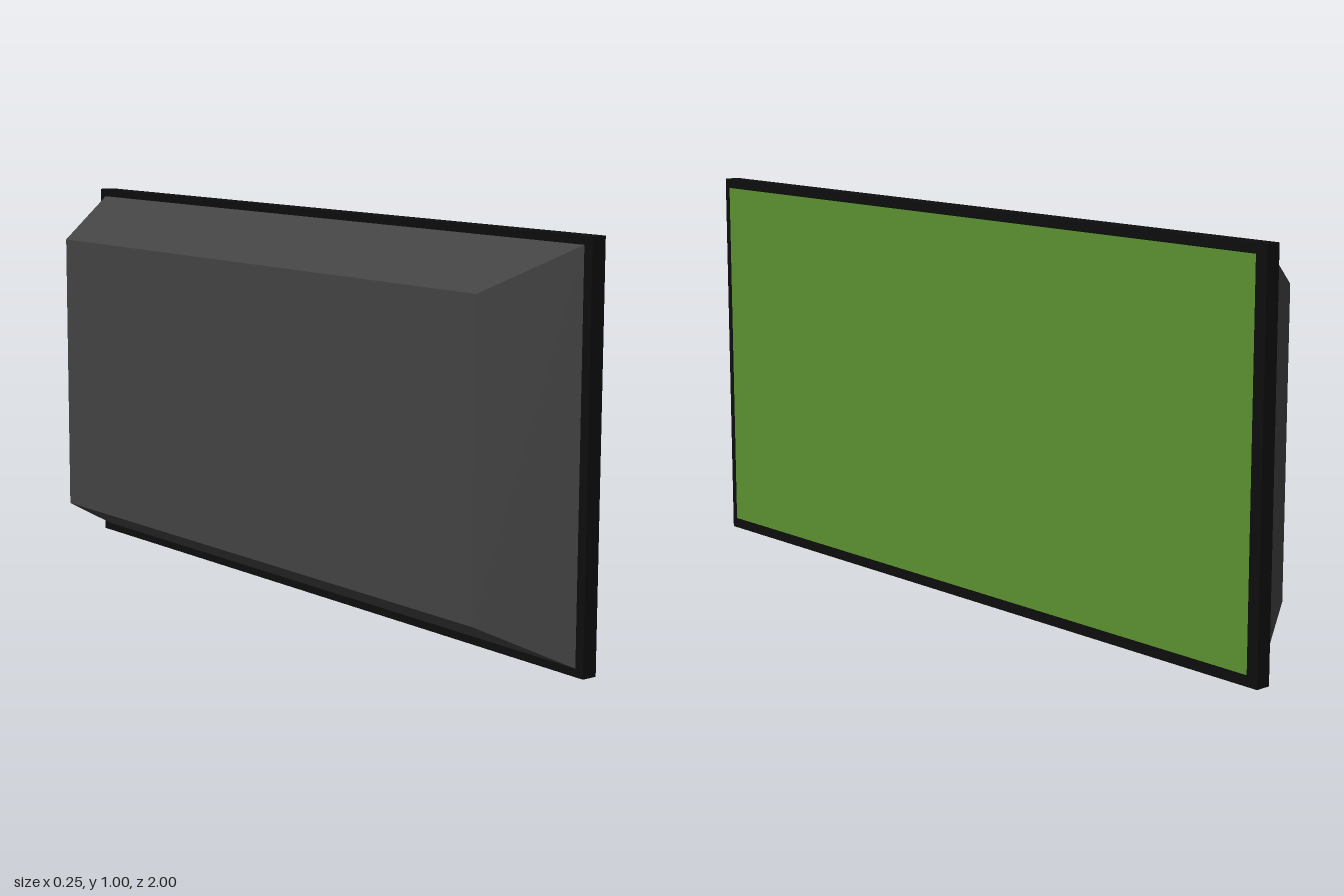
import * as THREE from 'three';

const WIDTH = 2, HEIGHT = 1;
const BACK_X = -0.125, FRAME_BACK_X = 0.083, FRAME_FRONT_X = 0.123, SCREEN_X = 0.125;

function part(name, geometry, color, x, y = HEIGHT / 2, z = 0) {
  const mesh = new THREE.Mesh(geometry, new THREE.MeshStandardMaterial({ color, flatShading: true }));
  mesh.name = name;
  mesh.position.set(x, y, z);
  return mesh;
}

// Box whose -x end is narrowed to the given height and width
function taperedBox(depth, height, width, backHeight, backWidth) {
  const geometry = new THREE.BoxGeometry(depth, height, width);
  const p = geometry.attributes.position;
  for (let i = 0; i < p.count; i++) {
    if (p.getX(i) < 0) {
      p.setY(i, Math.sign(p.getY(i)) * backHeight / 2);
      p.setZ(i, Math.sign(p.getZ(i)) * backWidth / 2);
    }
  }
  geometry.computeVertexNormals();
  return geometry;
}

export function createModel() {
  const model = new THREE.Group();
  model.name = 'flatScreen';

  // Thin black frame panel
  const frameDepth = FRAME_FRONT_X - FRAME_BACK_X;
  model.add(part('frame', new THREE.BoxGeometry(frameDepth, HEIGHT, WIDTH), 0x0d0d0d,
    (FRAME_FRONT_X + FRAME_BACK_X) / 2));

  // Tapered housing behind the frame
  const housingDepth = FRAME_BACK_X - BACK_X;
  model.add(part('backHousing', taperedBox(housingDepth, 0.96, 1.95, 0.75, 1.71), 0x444444,
    (FRAME_BACK_X + BACK_X) / 2));

  // Green display sheet facing +x
  const screen = part('screen', new THREE.PlaneGeometry(1.95, 0.948), 0x5c9231, SCREEN_X, 0.502, 0.005);
  screen.rotation.y = Math.PI / 2;
  model.add(screen);

  return model;
}
